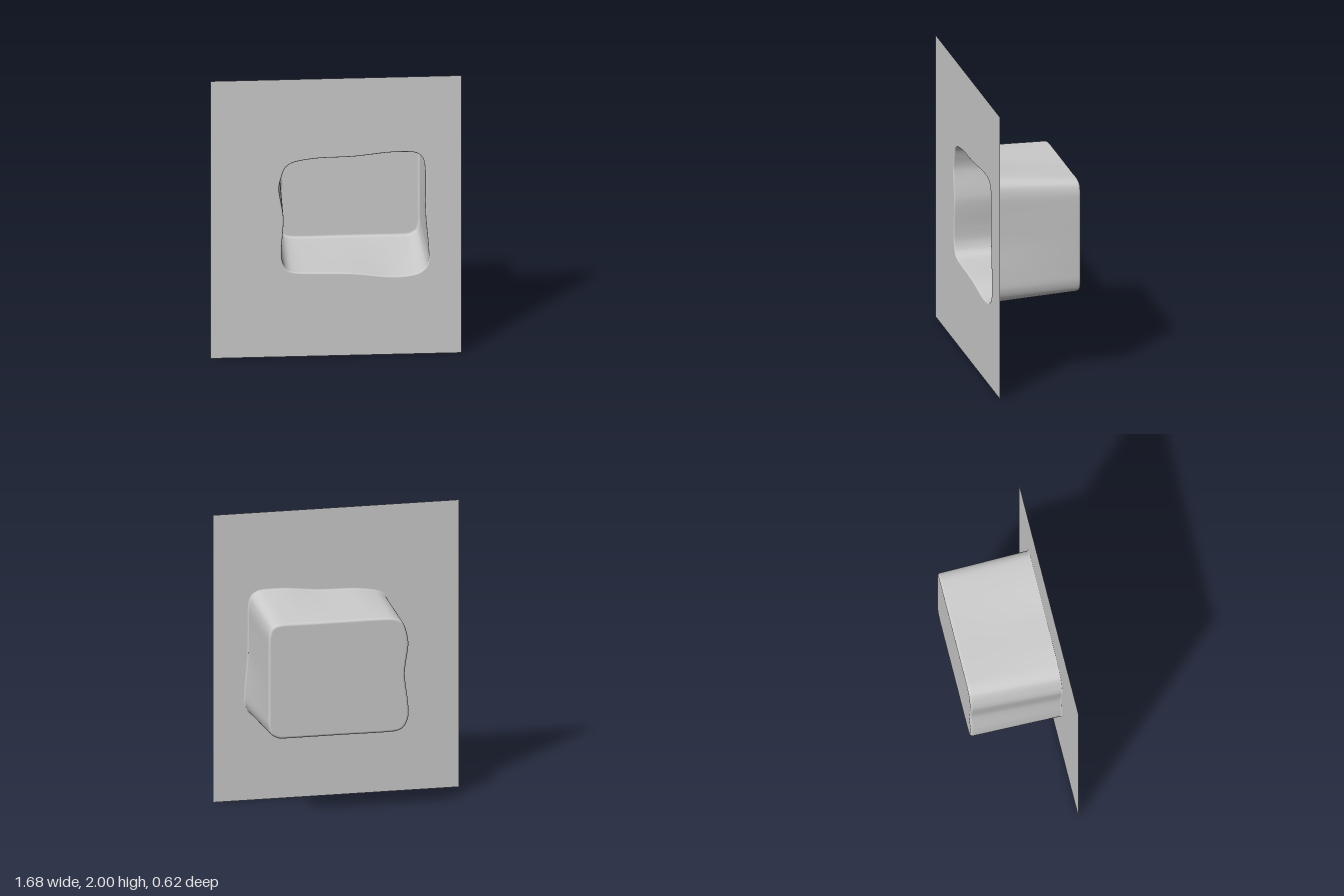
import * as THREE from 'three';

const FRONT = 0.312, BACK = -0.312, N = 220;

// Matching control points, counter-clockwise: the irregular mouth and the tidier rear outline
const MOUTH = [
  [-0.25, 0.604], [0.1, 0.592], [0.34, 0.564], [0.46, 0.564], [0.55, 0.582], [0.603, 0.625], [0.622, 0.69],
  [0.617, 0.8], [0.6, 1.0], [0.597, 1.2], [0.596, 1.34], [0.578, 1.415], [0.52, 1.452], [0.36, 1.455],
  [0.12, 1.431], [-0.12, 1.424], [-0.27, 1.402], [-0.335, 1.365], [-0.363, 1.3],
  [-0.381, 1.2], [-0.351, 1.0], [-0.362, 0.8], [-0.361, 0.7], [-0.332, 0.632],
];
const REAR = [
  [-0.25, 0.6], [0.1, 0.6], [0.34, 0.6], [0.46, 0.6], [0.53, 0.604], [0.582, 0.637], [0.599, 0.7],
  [0.599, 0.8], [0.599, 1.0], [0.599, 1.2], [0.596, 1.315], [0.573, 1.376], [0.51, 1.398], [0.36, 1.398],
  [0.12, 1.398], [-0.12, 1.398], [-0.25, 1.394], [-0.313, 1.365], [-0.343, 1.3],
  [-0.359, 1.2], [-0.334, 1.0], [-0.357, 0.8], [-0.359, 0.7], [-0.328, 0.63],
];

const curveOf = (pts) =>
  new THREE.CatmullRomCurve3(pts.map(([x, y]) => new THREE.Vector3(x, y, 0)), true, 'catmullrom', 0.4);

export function createModel() {
  const group = new THREE.Group();
  const material = new THREE.MeshStandardMaterial({ color: 0xcccccc, side: THREE.DoubleSide });
  const add = (name, geometry) => {
    const mesh = new THREE.Mesh(geometry, material);
    mesh.name = name;
    group.add(mesh);
  };

  // One cross-section: blend between mouth and rear, then push outwards by an offset
  const mouth = curveOf(MOUTH), rear = curveOf(REAR);
  const section = (z, offset) => {
    const blend = (FRONT - z) / (FRONT - BACK);
    return Array.from({ length: N }, (_, i) => {
      const at = (t) => mouth.getPoint((t + 1) % 1).lerp(rear.getPoint((t + 1) % 1), blend);
      const p = at(i / N), d = at((i + 0.5) / N).sub(at((i - 0.5) / N)).normalize();
      return new THREE.Vector3(p.x + d.y * offset, p.y - d.x * offset, z);
    });
  };

  // Flared lip, tapering walls and rounded rear edge
  const lip = 0.01, edge = 0.018, rings = [];
  for (let k = 0; k <= 4; k++) {
    const a = (k / 4) * Math.PI / 2;
    rings.push(section(FRONT - lip * (1 - Math.cos(a)), lip * (1 - Math.sin(a))));
  }
  for (let k = 1; k < 6; k++) rings.push(section(FRONT - lip - (k / 6) * (FRONT - BACK - lip - edge), 0));
  for (let k = 0; k <= 5; k++) {
    const a = (k / 5) * Math.PI / 2;
    rings.push(section(BACK + edge * (1 - Math.sin(a)), -edge * (1 - Math.cos(a))));
  }
  const indices = [];
  for (let r = 0; r < rings.length - 1; r++) {
    for (let i = 0; i < N; i++) {
      const j = (i + 1) % N, a = r * N + i, b = r * N + j;
      indices.push(a, b, a + N, b, b + N, a + N);
    }
  }
  const walls = new THREE.BufferGeometry().setFromPoints(rings.flat());
  walls.setIndex(indices);
  walls.computeVertexNormals();
  // The end rings run flush into the flat faces
  const normals = walls.attributes.normal;
  for (let i = 0; i < N; i++) {
    normals.setXYZ(i, 0, 0, 1);
    normals.setXYZ((rings.length - 1) * N + i, 0, 0, 1);
  }
  add('recessWalls', walls);

  // Flat panel with the opening cut out
  const flat = (ring) => ring.map((p) => new THREE.Vector2(p.x, p.y));
  const panel = new THREE.Shape([[-0.84, 0], [0.84, 0], [0.84, 2], [-0.84, 2]].map(([x, y]) => new THREE.Vector2(x, y)));
  panel.holes.push(new THREE.Path(flat(rings[0])));
  add('frontPanel', new THREE.ShapeGeometry(panel).translate(0, 0, FRONT));

  // Flat rear of the recess
  add('recessBack', new THREE.ShapeGeometry(new THREE.Shape(flat(rings[rings.length - 1]))).translate(0, 0, BACK));

  return group;
}
